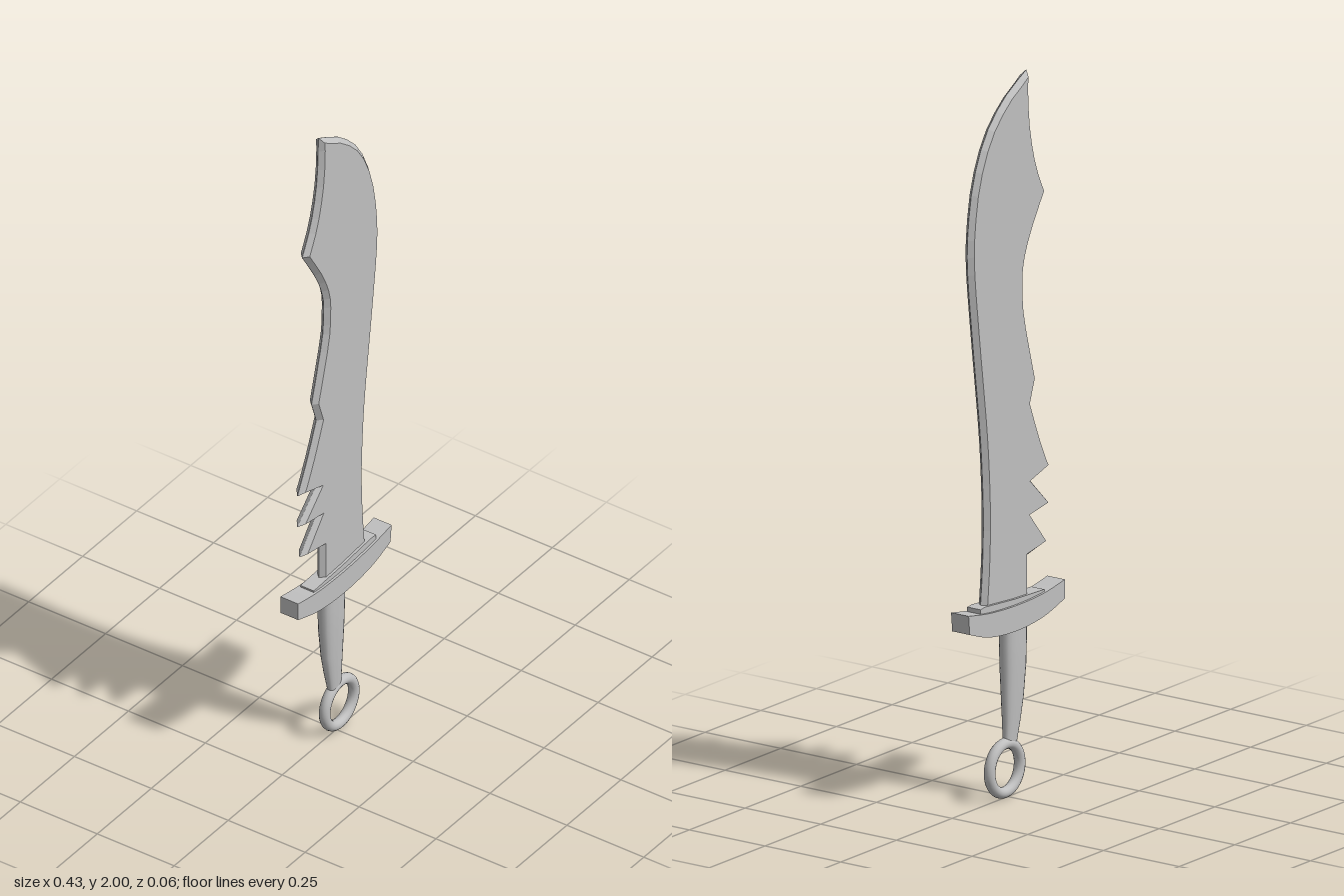
import * as THREE from 'three';

const steel = new THREE.MeshStandardMaterial({ color: 0xc0c0c0 });
steel.name = 'steel grey';

const vecs = (pts) => pts.map(([x, y]) => new THREE.Vector2(x, y));

function addPart(group, name, geometry) {
  const mesh = new THREE.Mesh(geometry, steel);
  mesh.name = name;
  group.add(mesh);
  return mesh;
}

// Blade: smooth cutting edge, hooked and toothed back, ground to a sharp rim
function bladeGeometry() {
  const s = new THREE.Shape();
  s.moveTo(-0.08, 0.52);
  s.lineTo(0.127, 0.52);
  s.splineThru(vecs([
    [0.115, 0.65], [0.11, 0.785], [0.115, 0.92], [0.126, 1.05], [0.15, 1.235],
    [0.167, 1.37], [0.181, 1.5], [0.18, 1.605], [0.156, 1.74], [0.1, 1.86],
    [0.015, 1.945], [-0.083, 2.0],
  ]));
  s.splineThru(vecs([[-0.09, 1.86], [-0.117, 1.74], [-0.158, 1.65]]));
  s.splineThru(vecs([[-0.092, 1.54], [-0.062, 1.46], [-0.06, 1.39], [-0.068, 1.315], [-0.115, 1.14]]));
  s.lineTo(-0.093, 1.075);
  s.splineThru(vecs([[-0.133, 0.975], [-0.18, 0.877]]));
  for (const [x, y] of [[-0.098, 0.855], [-0.18, 0.775], [-0.095, 0.76], [-0.17, 0.67], [-0.08, 0.65]]) {
    s.lineTo(x, y);
  }
  const g = new THREE.ExtrudeGeometry(s, {
    depth: 0.001, curveSegments: 2, bevelEnabled: true, bevelSegments: 1,
    bevelThickness: 0.014, bevelSize: 0.013, bevelOffset: -0.013,
  });
  return g.translate(0, 0, -0.0005);
}

// Flat-sided plate centred on z = 0
function plateGeometry(shape, depth) {
  return new THREE.ExtrudeGeometry(shape, { depth, bevelEnabled: false, curveSegments: 4 })
    .translate(0, 0, -depth / 2);
}

function guardShape() {
  const s = new THREE.Shape();
  s.moveTo(-0.217, 0.503);
  s.splineThru(vecs([[-0.12, 0.475], [0, 0.465], [0.12, 0.476], [0.21, 0.505]]));
  s.lineTo(0.215, 0.558);
  s.splineThru(vecs([[0.12, 0.543], [0, 0.536], [-0.12, 0.54], [-0.217, 0.556]]));
  s.closePath();
  return s;
}

// Grip: oval sections swept down a leaning taper, given as [y, left, right, half depth]
function gripGeometry() {
  const rows = [
    [0.5, -0.071, 0.025, 0.025], [0.43, -0.071, 0.025, 0.025], [0.36, -0.069, 0.023, 0.024],
    [0.27, -0.06, 0.019, 0.02], [0.21, -0.048, 0.016, 0.017], [0.15, -0.034, 0.015, 0.013],
  ];
  const g = new THREE.CylinderGeometry(1, 1, 1, 20, rows.length - 1);
  const p = g.attributes.position;
  const round = (v) => Math.sign(v) * Math.pow(Math.abs(v), 0.8);
  for (let i = 0; i < p.count; i++) {
    const [y, left, right, depth] = rows[Math.round((0.5 - p.getY(i)) * (rows.length - 1))];
    p.setXYZ(i, (left + right) / 2 + round(p.getX(i)) * (right - left) / 2, y, round(p.getZ(i)) * depth);
  }
  g.computeVertexNormals();
  return g;
}

export function createModel() {
  const group = new THREE.Group();
  group.name = 'sword';

  addPart(group, 'blade', bladeGeometry());
  addPart(group, 'guard', plateGeometry(guardShape(), 0.058));

  // Low collar seating the blade in the guard
  const collar = new THREE.Shape(vecs([[-0.135, 0.51], [0.153, 0.51], [0.153, 0.56], [0.13, 0.562], [0, 0.552], [-0.135, 0.547]]));
  addPart(group, 'collar', plateGeometry(collar, 0.044));

  addPart(group, 'grip', gripGeometry());

  // Ring pommel
  const ring = addPart(group, 'pommelRing', new THREE.TorusGeometry(0.0675, 0.0155, 14, 40));
  ring.position.set(0.014, 0.083, 0);

  return group;
}
